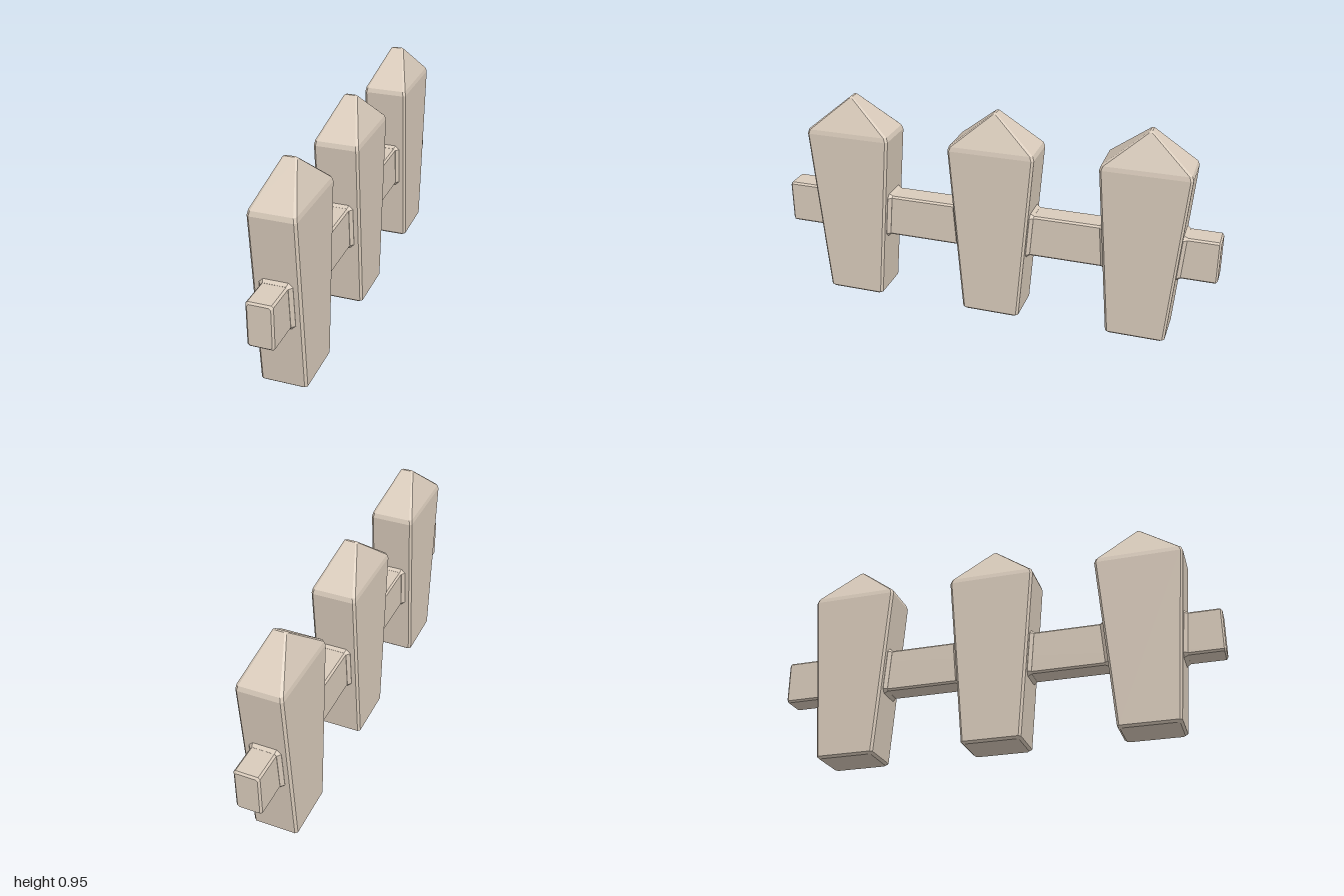
import * as THREE from 'three';

const POST_Z = [-0.67, 0, 0.67];
const RAIL_Y = 0.403;

// half depth of a post (along z) at height y
const postHalf = (y) => 0.132 + 0.063 * (y / 0.785);

// counter-clockwise rectangle with cut corners
function cutRect(hu, hv, cut) {
  const c = Math.min(cut, hu * 0.5, hv * 0.5);
  return [
    [hu, -hv + c], [hu, hv - c], [hu - c, hv], [-hu + c, hv],
    [-hu, hv - c], [-hu, -hv + c], [-hu + c, -hv], [hu - c, -hv],
  ];
}

// flat-faced skin through rings of points, closed at both ends
function loft(rings) {
  const pos = [];
  const tri = (a, b, c) => pos.push(...a, ...b, ...c);
  const n = rings[0].length;
  for (let r = 0; r < rings.length - 1; r++) {
    const lo = rings[r], hi = rings[r + 1];
    for (let i = 0; i < n; i++) {
      const j = (i + 1) % n;
      tri(lo[i], lo[j], hi[j]);
      tri(lo[i], hi[j], hi[i]);
    }
  }
  const first = rings[0], last = rings[rings.length - 1];
  for (let i = 1; i < n - 1; i++) {
    tri(first[0], first[i + 1], first[i]);
    tri(last[0], last[i], last[i + 1]);
  }
  const geo = new THREE.BufferGeometry();
  geo.setAttribute('position', new THREE.Float32BufferAttribute(pos, 3));
  geo.computeVertexNormals();
  return geo;
}

export function createModel() {
  const group = new THREE.Group();
  group.name = 'fence';
  const wood = new THREE.MeshStandardMaterial({ color: 0xd9cbbb });
  wood.name = 'paleWood';

  const add = (name, geo, z = 0) => {
    const mesh = new THREE.Mesh(geo, wood);
    mesh.name = name;
    mesh.position.z = z;
    group.add(mesh);
  };

  // tapered post with bevelled edges and a pointed top: [y, half z, half x]
  const postGeo = loft([
    [0, 0.122, 0.09],
    [0.01, postHalf(0.01), 0.1],
    [0.78, postHalf(0.78), 0.1],
    [0.8, 0.188, 0.096],
    [0.945, 0.012, 0.031],
    [0.951, 0.005, 0.022],
  ].map(([y, hz, hx]) => cutRect(hz, hx, 0.01).map(([z, x]) => [x, y, z])));

  // long rail with bevelled ends: [z, inset]
  add('rail', loft([
    [-1, 0.008], [-0.992, 0], [0.992, 0], [1, 0.008],
  ].map(([z, inset]) => cutRect(0.056 - inset, 0.098 - inset, 0.008)
    .map(([x, y]) => [x, RAIL_Y + y, z]))));

  // flared collar where the rail meets the sloping post face
  const collarRing = (grow, cut, side, offset) =>
    cutRect(0.056 + grow, 0.098 + grow * 0.75, cut).map(([x, y]) => {
      const h = RAIL_Y + y;
      return [x, h, side * (postHalf(h) + offset)];
    });
  const collarGeo = (side) => {
    const rings = [
      collarRing(0.014, 0.018, side, -0.01),
      collarRing(0.014, 0.018, side, 0.001),
      collarRing(0.001, 0.009, side, 0.016),
    ];
    return loft(side > 0 ? rings : rings.reverse());
  };
  const frontCollar = collarGeo(1);
  const backCollar = collarGeo(-1);

  for (const z of POST_Z) {
    add('post', postGeo, z);
    add('frontCollar', frontCollar, z);
    add('backCollar', backCollar, z);
  }
  return group;
}
